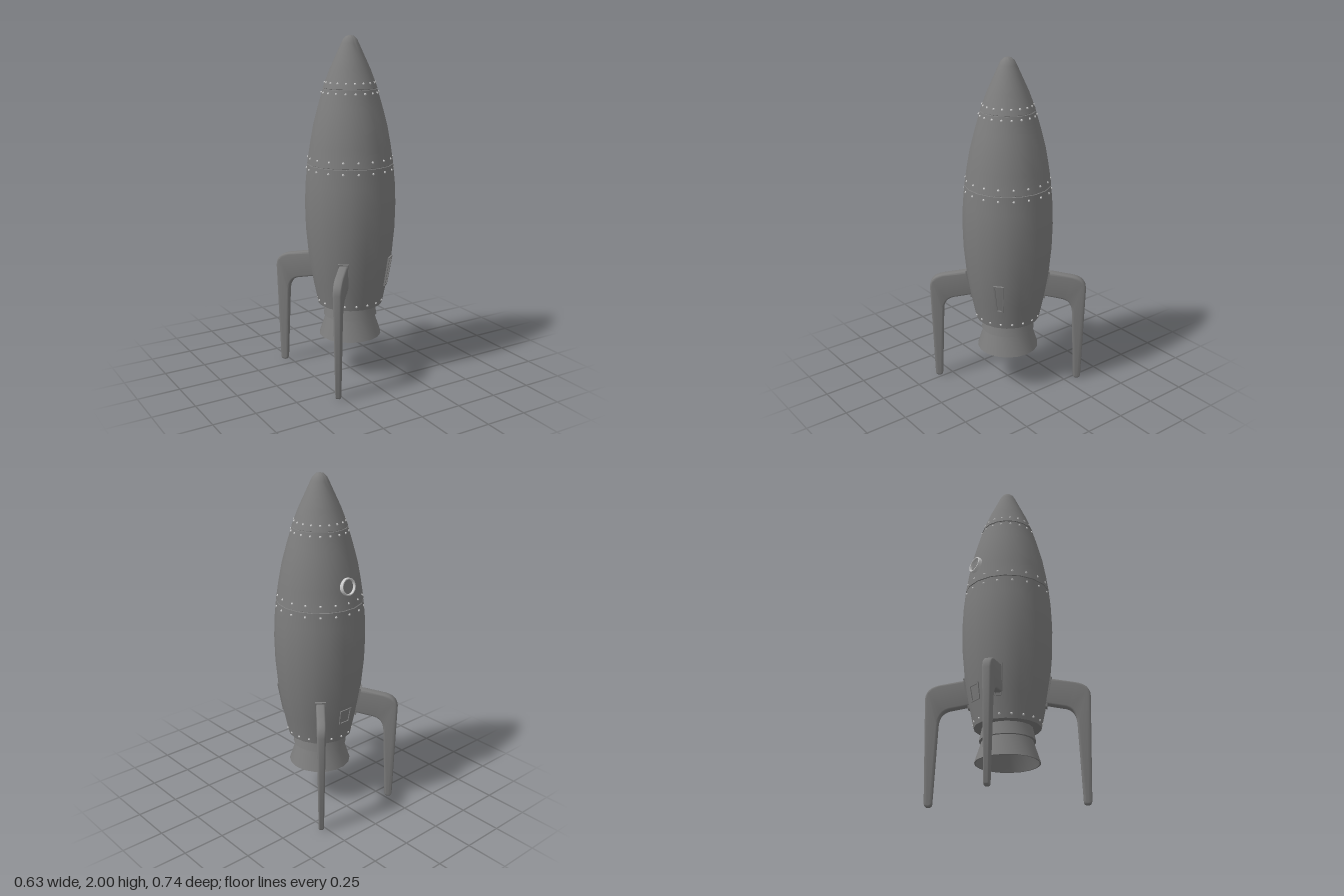
import * as THREE from 'three';
import { toCreasedNormals } from 'three/addons/utils/BufferGeometryUtils.js';

const SIDES = 18;
const STEP = (Math.PI * 2) / SIDES;
const FLAT = Math.cos(STEP / 2); // radius of a panel's middle relative to its corners
const rad = THREE.MathUtils.degToRad;

// Hull outline as [radius, height], bottom to top
const LOWER = [[0.191, 0.435], [0.221, 0.58], [0.246, 0.73], [0.262, 0.9], [0.266, 1.05], [0.261, 1.17], [0.251, 1.277]];
const UPPER = [[0.251, 1.277], [0.235, 1.385], [0.216, 1.49], [0.187, 1.6], [0.157, 1.705]];
const NOSE = [[0.157, 1.705], [0.118, 1.81], [0.074, 1.905], [0.051, 1.955], [0.04, 1.977], [0.022, 1.994], [0, 2]];
const OUTLINE = [...LOWER, ...UPPER.slice(1), ...NOSE.slice(1)];

// Dark painted metal for the body, pale metal for the fittings
const dark = new THREE.MeshStandardMaterial({ color: 0x7c7c7c });
const darkOpen = new THREE.MeshStandardMaterial({ color: 0x7c7c7c, side: THREE.DoubleSide });
const pale = new THREE.MeshStandardMaterial({ color: 0xcccccc });

function part(name, geometry, material = dark) {
  const mesh = new THREE.Mesh(geometry, material);
  mesh.name = name;
  return mesh;
}

function turned(name, profile, material) {
  const points = profile.map(([r, y]) => new THREE.Vector2(r, y));
  return part(name, toCreasedNormals(new THREE.LatheGeometry(points, SIDES, STEP / 2), 0.6), material);
}

// Hull radius and lean of the wall at a height
function wallAt(y) {
  const i = Math.max(1, OUTLINE.findIndex((p) => p[1] >= y));
  const [r0, y0] = OUTLINE[i - 1];
  const [r1, y1] = OUTLINE[i];
  return { r: (r0 + ((r1 - r0) * (y - y0)) / (y1 - y0)) * FLAT, lean: Math.atan2(r1 - r0, y1 - y0) };
}

// Puts an object on the hull with its +z along the wall's normal; angle is measured from +x to +z
function mount(object, angle, y) {
  const { r, lean } = wallAt(y);
  object.rotation.order = 'YXZ';
  object.rotation.set(lean, Math.PI / 2 - angle, 0);
  object.position.set(Math.cos(angle) * r, y, Math.sin(angle) * r);
  return object;
}

// Four-sided frame with a hole, tapering from top to bottom
function frame(name, top, bottom, height, rim, depth) {
  const corners = (inset) => [
    [-bottom / 2 + inset, -height / 2 + inset], [bottom / 2 - inset, -height / 2 + inset],
    [top / 2 - inset, height / 2 - inset], [-top / 2 + inset, height / 2 - inset],
  ].map(([x, y]) => new THREE.Vector2(x, y));
  const shape = new THREE.Shape(corners(0));
  shape.holes.push(new THREE.Path(corners(rim)));
  const geometry = new THREE.ExtrudeGeometry(shape, { depth: depth + 0.015, bevelEnabled: false });
  return part(name, geometry.translate(0, 0, -0.015));
}

// Bent landing leg, flat in the radial plane and thinner towards the foot
function legGeometry() {
  const s = new THREE.Shape();
  s.moveTo(0.2, 0.728);
  s.lineTo(0.27, 0.722);
  s.lineTo(0.39, 0.701);
  s.quadraticCurveTo(0.468, 0.685, 0.47, 0.62);
  s.lineTo(0.453, 0.02);
  s.quadraticCurveTo(0.45, 0, 0.43, 0);
  s.quadraticCurveTo(0.41, 0, 0.408, 0.02);
  s.lineTo(0.39, 0.46);
  s.quadraticCurveTo(0.387, 0.535, 0.33, 0.55);
  s.lineTo(0.2, 0.575);
  s.closePath();
  const geometry = new THREE.ExtrudeGeometry(s, {
    depth: 0.028, bevelThickness: 0.012, bevelSize: 0.012, bevelOffset: -0.012, bevelSegments: 3, curveSegments: 6,
  }).translate(0, 0, -0.014);
  const p = geometry.attributes.position;
  for (let i = 0; i < p.count; i++) p.setZ(i, p.getZ(i) * (0.6 + (0.4 * p.getY(i)) / 0.7));
  return toCreasedNormals(geometry, 0.7);
}

export function createModel() {
  const model = new THREE.Group();
  model.name = 'rocket';

  // Hull sections, each rim turned in a little to leave a fine seam
  const rim = ([r, y], dir) => [[r, y + dir * 0.003], [r - 0.005, y + dir * 0.001]];
  const [lowTop, highTop] = [LOWER.at(-1), UPPER.at(-1)];
  model.add(
    turned('lowerHull', [[0, 0.435], ...LOWER.slice(0, -1), ...rim(lowTop, -1)]),
    turned('upperHull', [...rim(lowTop, 1).reverse(), ...UPPER.slice(1, -1), ...rim(highTop, -1)]),
    turned('noseCone', [...rim(highTop, 1).reverse(), ...NOSE.slice(1)]),
  );
  for (const [r, y] of [lowTop, highTop]) {
    model.add(turned('seamCore', [[r - 0.005, y - 0.004], [r - 0.005, y + 0.004]]));
  }

  // Engine collar and open bell with a domed inside
  model.add(
    turned('engineCollar', [[0.125, 0.36], [0.16, 0.36], [0.143, 0.44]]),
    turned('engineBell', [[0, 0.41], [0.06, 0.402], [0.105, 0.38], [0.13, 0.345], [0.177, 0.236], [0.185, 0.236], [0.143, 0.365]], darkOpen),
  );

  // Rows of rivets on the middle of every panel
  const rivets = new THREE.Group();
  rivets.name = 'rivets';
  const rivetGeometry = new THREE.SphereGeometry(0.007, 8, 6);
  for (const y of [0.46, 1.248, 1.312, 1.682, 1.738]) {
    for (let i = 0; i < SIDES; i++) {
      rivets.add(mount(part('rivet', rivetGeometry, pale), (i + 0.5) * STEP, y));
    }
  }
  model.add(rivets);

  // Four leg sockets, the front left one left empty
  const leg = legGeometry();
  for (const degrees of [50, 130, 230, 310]) {
    const angle = rad(degrees);
    model.add(mount(frame('legSocket', 0.062, 0.042, 0.18, 0.008, 0.01), angle, 0.645));
    if (degrees === 50) continue;
    const mesh = part('landingLeg', leg);
    mesh.rotation.y = -angle;
    model.add(mesh);
  }

  // Round window on the back
  const porthole = new THREE.Group();
  porthole.name = 'porthole';
  const ringProfile = [[0.041, -0.015], [0.05, -0.015], [0.05, 0.016], [0.048, 0.019], [0.043, 0.019], [0.041, 0.016], [0.041, -0.015]];
  const ring = part('portholeRing', toCreasedNormals(
    new THREE.LatheGeometry(ringProfile.map(([r, y]) => new THREE.Vector2(r, y)), 24), 0.6), pale);
  ring.rotation.x = Math.PI / 2;
  const pane = part('portholePane', new THREE.CircleGeometry(0.042, 24));
  pane.position.z = 0.004;
  porthole.add(ring, pane);
  model.add(mount(porthole, rad(270), 1.405));

  // Small hatch low on the back
  model.add(mount(frame('hatchFrame', 0.085, 0.075, 0.095, 0.008, 0.006), rad(270), 0.605));

  return model;
}
